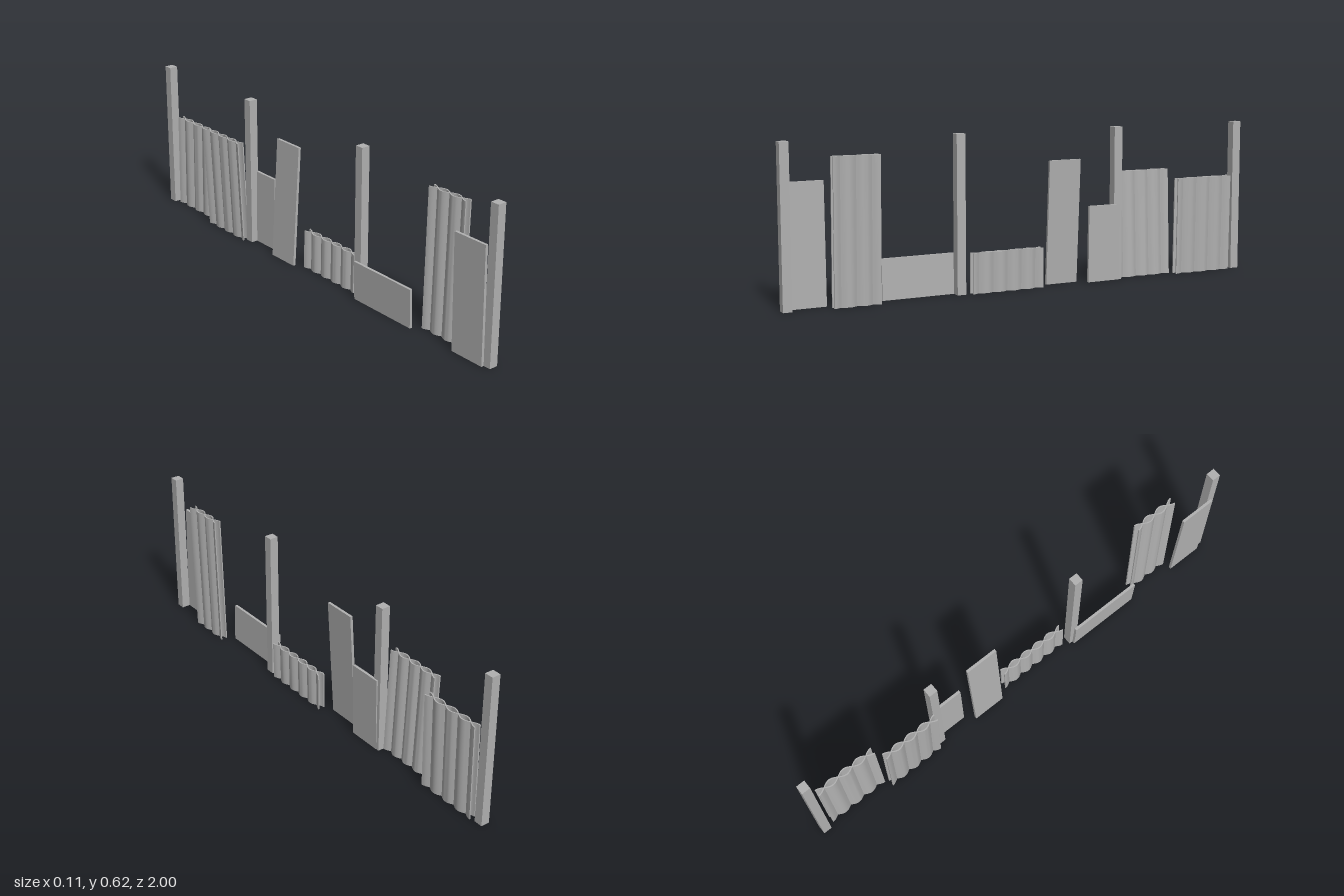
import * as THREE from 'three';
import { toCreasedNormals } from 'three/addons/utils/BufferGeometryUtils.js';

const grey = new THREE.MeshStandardMaterial({ color: 0xb0b0b0 });
grey.name = 'weathered grey';

// Shift the vertices sideways in proportion to height, so a panel leans.
function lean(geometry, height, shift) {
  const p = geometry.attributes.position;
  for (let i = 0; i < p.count; i++) p.setX(i, p.getX(i) + shift * p.getY(i) / height);
  geometry.computeVertexNormals();
  return geometry;
}

function add(group, name, geometry) {
  const mesh = new THREE.Mesh(geometry, grey);
  mesh.name = name;
  group.add(mesh);
  return mesh;
}

// Flat board from z0 to z1, standing on the ground at x.
function board(group, z0, z1, height, x, shift) {
  const g = new THREE.BoxGeometry(0.011, height, z1 - z0);
  g.translate(0, height / 2, 0);
  add(group, 'flatPanel', lean(g, height, shift)).position.set(x, 0, (z0 + z1) / 2);
}

// One thin wavy sheet; side = 1 or -1 mirrors the wave.
function wavySheet(length, height, waves, side) {
  const steps = waves * 8, amp = 0.0125, half = 0.0025;
  const near = [], far = [];
  for (let i = 0; i <= steps; i++) {
    const t = i / steps;
    const x = side * amp * Math.cos(t * waves * Math.PI);
    const z = (t - 0.5) * length;
    near.push(new THREE.Vector2(x + half, z));
    far.unshift(new THREE.Vector2(x - half, z));
  }
  const shape = new THREE.Shape([...near, ...far]);
  const g = new THREE.ExtrudeGeometry(shape, { depth: height, bevelEnabled: false });
  return g.rotateX(-Math.PI / 2);
}

// Corrugated panel: two sheets whose waves cross each other.
function corrugated(group, z0, z1, height, x, shift, waves) {
  const panel = new THREE.Group();
  panel.name = 'corrugatedPanel';
  for (const side of [1, -1]) {
    const g = lean(wavySheet(z1 - z0, height, waves, side), height, shift);
    add(panel, 'corrugatedSheet', toCreasedNormals(g, 0.7));
  }
  panel.position.set(x, 0, (z0 + z1) / 2);
  group.add(panel);
}

export function createModel() {
  const fence = new THREE.Group();
  fence.name = 'brokenFence';

  // Square posts
  for (const z of [0.982, 0.288, -0.406, -0.982]) {
    add(fence, 'post', new THREE.BoxGeometry(0.036, 0.622, 0.036)).position.set(0.003, 0.311, z);
  }

  // Flat panels: z range, height, base x, lean
  board(fence, 0.82, 0.97, 0.47, -0.021, -0.009);
  board(fence, 0.285, 0.6, 0.16, -0.021, -0.005);
  board(fence, -0.235, -0.097, 0.5, -0.019, 0.03);
  board(fence, -0.41, -0.27, 0.31, 0.017, 0.005);

  // Corrugated panels: z range, height, base x, lean, half waves
  corrugated(fence, 0.625, 0.81, 0.563, 0.025, 0.012, 3);
  corrugated(fence, -0.06, 0.245, 0.16, 0.016, 0.003, 5);
  corrugated(fence, -0.67, -0.425, 0.435, -0.018, -0.02, 4);
  corrugated(fence, -0.945, -0.685, 0.398, 0.014, 0.006, 4);

  return fence;
}
